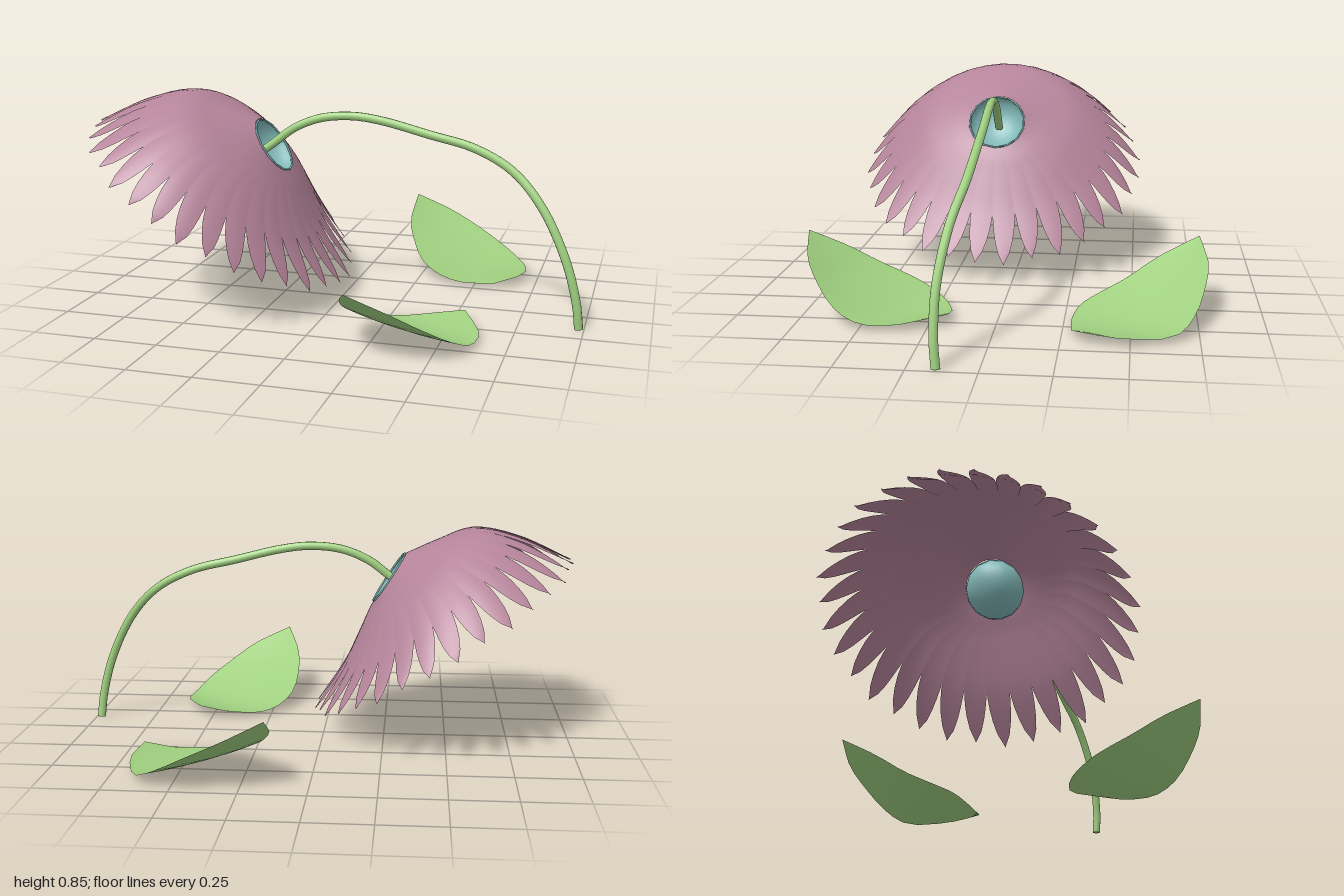
import * as THREE from 'three';

const mat = (color) => new THREE.MeshStandardMaterial({ color, side: THREE.DoubleSide });
const pink = mat(0xb5849a), green = mat(0xa0d080), teal = mat(0x82b8b8);

function mesh(name, geometry, material) {
  const m = new THREE.Mesh(geometry, material);
  m.name = name;
  return m;
}

// Smooth grid surface: point(u, v) with u across and v along, both 0..1
function sheet(cols, rows, point) {
  const pos = [], index = [];
  for (let j = 0; j <= rows; j++)
    for (let i = 0; i <= cols; i++) pos.push(...point(i / cols, j / rows));
  for (let j = 0; j < rows; j++)
    for (let i = 0; i < cols; i++) {
      const a = j * (cols + 1) + i, b = a + cols + 1;
      index.push(a, b, a + 1, a + 1, b, b + 1);
    }
  const g = new THREE.BufferGeometry();
  g.setAttribute('position', new THREE.Float32BufferAttribute(pos, 3));
  g.setIndex(index);
  g.computeVertexNormals();
  return g;
}

const curve = (pts) => new THREE.CatmullRomCurve3(pts.map((p) => new THREE.Vector3(...p)));
const CENTER_Z = 0.085;

// Drooping blossom: upper and lower profile lines plus half-width from hub to rim
const upper = curve([[-0.33, 0.74, 0.115], [-0.47, 0.80, 0.23], [-0.61, 0.848, 0.34], [-0.8, 0.812, 0.485], [-1.005, 0.717, 0.615]]);
const lower = curve([[-0.2, 0.54, 0], [-0.175, 0.49, 0], [-0.145, 0.42, 0], [-0.075, 0.27, 0], [0.043, 0.088, 0]]);

function blossomPoint(theta, s, inset) {
  const a = upper.getPoint(s), b = lower.getPoint(s);
  const c = Math.cos(theta), k = 1 - inset;
  return [
    (a.x + b.x) / 2 + ((a.x - b.x) / 2) * c * k,
    (a.y + b.y) / 2 + ((a.y - b.y) / 2) * c * k,
    CENTER_Z + a.z * Math.sin(theta) * k,
  ];
}

function petal(theta, step, length) {
  return sheet(4, 18, (u, v) => {
    // full width near the hub, rounded point past the notch
    const t = Math.max(0, (v - 0.6) / 0.4);
    const width = 1.1 * Math.pow(1 - Math.pow(t, 2.2), 0.75);
    const side = (u - 0.5) * width;
    // gentle ridge and overlap toward the rim
    const inset = v * (0.012 * u + 0.04 * side * side);
    return blossomPoint(theta + side * step, v * length, inset);
  });
}

// Leaf lofted between its two edges, sagging along the middle
function leaf(name, left, right, sag) {
  const l = curve(left), r = curve(right);
  return mesh(name, sheet(6, 14, (u, v) => {
    const p = l.getPoint(v).lerp(r.getPoint(v), u);
    p.y = Math.max(0.004, p.y - sag * 4 * u * (1 - u) * Math.sin(Math.PI * v));
    return p.toArray();
  }), green);
}

export function createModel() {
  const model = new THREE.Group();

  // Ring of petals
  const petals = new THREE.Group();
  petals.name = 'petals';
  const count = 32, step = (Math.PI * 2) / count;
  for (let i = 0; i < count; i++) {
    const length = 0.99 + 0.01 * Math.cos(i * 2.4);
    petals.add(mesh('petal', petal((i + 0.5) * step, step, length), pink));
  }
  model.add(petals);

  // Bowl in the middle of the blossom, opening toward the stem
  const hub = new THREE.Group();
  hub.name = 'hub';
  const bowl = mesh('hubBowl', new THREE.SphereGeometry(0.118, 14, 8, 0, Math.PI * 2, Math.PI / 2, Math.PI / 2), teal);
  bowl.scale.y = 0.7;
  const rim = mesh('hubRim', new THREE.TorusGeometry(0.117, 0.004, 6, 14), teal);
  rim.rotation.x = Math.PI / 2;
  hub.add(bowl, rim);
  hub.position.set(-0.262, 0.64, CENTER_Z + 0.003);
  hub.rotation.z = -Math.atan2(0.84, 0.545);
  model.add(hub);

  // Arched stem
  const path = curve([
    [-0.315, 0.61, 0.085], [-0.26, 0.65, 0.083], [-0.18, 0.71, 0.08], [-0.07, 0.755, 0.077],
    [0.06, 0.768, 0.072], [0.18, 0.754, 0.069], [0.37, 0.708, 0.066], [0.55, 0.663, 0.066],
    [0.7, 0.585, 0.08], [0.82, 0.46, 0.12], [0.92, 0.27, 0.152], [0.968, 0.1, 0.155], [0.98, 0, 0.147],
  ]);
  model.add(mesh('stem', new THREE.TubeGeometry(path, 60, 0.017, 10), green));
  const foot = mesh('stemFoot', new THREE.CircleGeometry(0.017, 10), green);
  foot.rotation.x = Math.PI / 2;
  foot.position.set(0.98, 0.001, 0.147);
  model.add(foot);

  // Two leaves on the ground with raised tips
  model.add(leaf('backLeaf',
    [[0.15, 0.27, -0.76], [0.15, 0.18, -0.6], [0.2, 0.105, -0.48], [0.25, 0.065, -0.39], [0.33, 0.035, -0.31], [0.43, 0.012, -0.28], [0.58, 0.012, -0.285]],
    [[0.15, 0.27, -0.76], [0.3, 0.2, -0.79], [0.43, 0.135, -0.77], [0.55, 0.07, -0.73], [0.64, 0.025, -0.66], [0.7, 0.03, -0.47], [0.68, 0.042, -0.32]],
    0.015));
  model.add(leaf('frontLeaf',
    [[0.225, 0.27, 0.785], [0.17, 0.195, 0.64], [0.155, 0.13, 0.52], [0.17, 0.065, 0.36], [0.23, 0.025, 0.26], [0.31, 0.012, 0.21], [0.44, 0.025, 0.175]],
    [[0.225, 0.27, 0.785], [0.38, 0.2, 0.75], [0.48, 0.135, 0.69], [0.58, 0.065, 0.6], [0.625, 0.025, 0.5], [0.635, 0.025, 0.37], [0.545, 0.045, 0.175]],
    0.015));

  return model;
}
